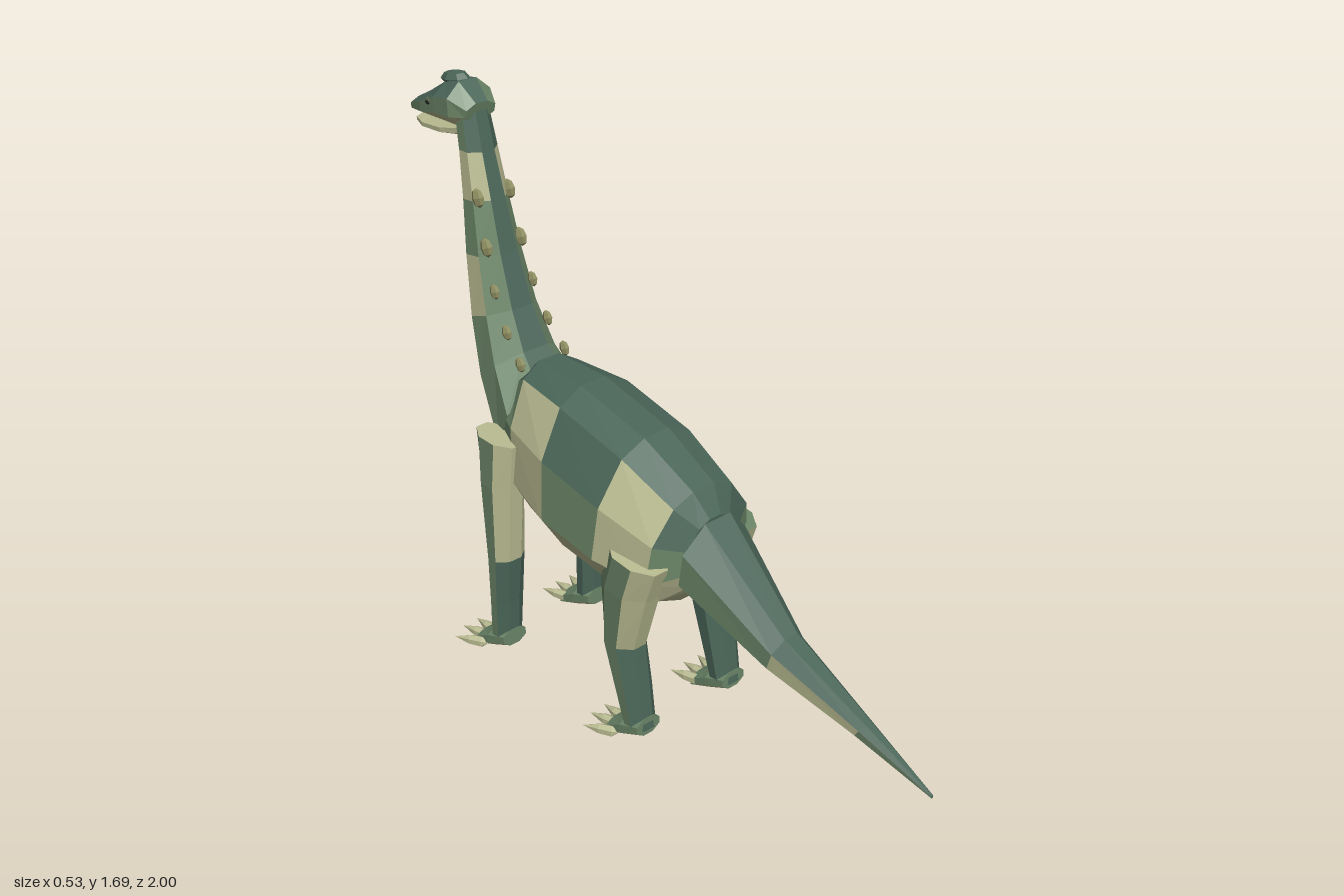
import * as THREE from 'three';

const mat = (name, color) => Object.assign(new THREE.MeshStandardMaterial({ color }), { name });
const MATS = [
  mat('dark teal green', 0x4a6558),
  mat('moss green', 0x6c8668),
  mat('pale tan', 0xb9bb91),
  mat('olive', 0x8f8f62),
  mat('eye black', 0x1c211e),
];
const TEAL = 0, MOSS = 1, TAN = 2, OLIVE = 3, BLACK = 4;

// Half cross-sections, top to bottom on the +x side
const OCT = [[0.4, 1], [1, 0.4], [1, -0.4], [0.4, -1]];
const BARREL = [[0.2, 1], [0.56, 0.84], [0.92, 0.3], [1, -0.38], [0.7, -0.8], [0.25, -1]];

// Lofts faceted rings. Section: [topZ, topY, bottomZ, bottomY, halfWidth, centreX].
// colour(segment, row, side): row 0 is the top strip, the last row the bottom strip.
function loft(name, half, sections, colour) {
  const prof = [...half, ...half.map(([x, y]) => [-x, y]).reverse()];
  const n = prof.length;
  const rings = sections.map(([tz, ty, bz, by, w, cx = 0]) => prof.map(([x, y]) => [
    cx + x * w,
    (ty + by) / 2 + y * (ty - by) / 2,
    (tz + bz) / 2 + y * (tz - bz) / 2,
  ]));
  const buckets = MATS.map(() => []);
  for (let i = 0; i < rings.length - 1; i++) {
    for (let k = 0; k < n; k++) {
      const k2 = (k + 1) % n;
      const row = k === n - 1 ? 0 : k < n / 2 ? k + 1 : n - 1 - k;
      const side = k < n / 2 ? 1 : -1;
      const a = rings[i][k], b = rings[i][k2], c = rings[i + 1][k], d = rings[i + 1][k2];
      buckets[colour(i, row, side)].push(...a, ...b, ...d, ...a, ...d, ...c);
    }
  }
  const last = rings.length - 1, s = rings[0], e = rings[last];
  for (let k = 1; k < n - 1; k++) {
    buckets[colour(0, 1, 1)].push(...s[0], ...s[k + 1], ...s[k]);
    buckets[colour(last - 1, 1, 1)].push(...e[0], ...e[k], ...e[k + 1]);
  }
  const geo = new THREE.BufferGeometry();
  geo.setAttribute('position', new THREE.Float32BufferAttribute(buckets.flat(), 3));
  let start = 0;
  buckets.forEach((b, m) => {
    if (b.length) geo.addGroup(start, b.length / 3, m);
    start += b.length / 3;
  });
  geo.computeVertexNormals();
  const mesh = new THREE.Mesh(geo, MATS);
  mesh.name = name;
  return mesh;
}

function faceted(name, geo, m, x, y, z) {
  const g = geo.index ? geo.toNonIndexed() : geo;
  g.computeVertexNormals();
  const mesh = new THREE.Mesh(g, MATS[m]);
  mesh.name = name;
  mesh.position.set(x, y, z);
  return mesh;
}

// Leg, foot and four splayed toes; (z, side) place the foot
function leg(name, side, sections, footZ) {
  const g = new THREE.Group();
  g.name = name;
  const cx = 0.165 * side;
  g.add(loft('limb', OCT, sections.map((s) => [...s, cx]), (i, row, sd) => {
    const lower = sections[i][1] < 0.4;
    if (row === 0) return lower ? TEAL : MOSS;
    if (row >= 3) return lower ? TEAL : TAN;
    if (sd !== side) return lower ? TEAL : TAN;
    return MOSS;
  }));
  g.add(loft('foot', OCT, [
    [footZ, 0.1, footZ, 0.045, 0.042, cx],
    [footZ - 0.06, 0.09, footZ - 0.07, 0.015, 0.052, cx],
    [footZ - 0.12, 0.05, footZ - 0.12, 0.0, 0.055, cx],
  ], (i, row) => (row >= 3 ? TAN : MOSS)));
  const toeProfile = [[0, 0], [0.017, 0.02], [0.015, 0.06], [0, 0.11]].map((p) => new THREE.Vector2(...p));
  [-0.28, -0.02, 0.24, 0.5].forEach((a, i) => {
    const geo = new THREE.LatheGeometry(toeProfile, 6).rotateX(-Math.PI / 2).rotateY(-a * side);
    g.add(faceted('toe', geo, TAN, cx + side * (-0.035 + i * 0.027), 0.032, footZ - 0.09 + (i === 3 ? 0.02 : 0)));
  });
  return g;
}

export function createModel() {
  const model = new THREE.Group();
  model.name = 'longNeckedDinosaur';

  // Barrel body with pale side patches and belly
  model.add(loft('body', BARREL, [
    [0.21, 0.72, 0.19, 0.5, 0.1],
    [0.165, 0.79, 0.13, 0.44, 0.19],
    [-0.02, 0.88, -0.05, 0.42, 0.22],
    [-0.28, 0.94, -0.24, 0.44, 0.22],
    [-0.47, 0.945, -0.42, 0.475, 0.175],
    [-0.52, 0.9, -0.57, 0.57, 0.135],
    [-0.56, 0.78, -0.64, 0.66, 0.07],
  ], (i, row) => {
    if (row >= 4 || i === 5) return TAN;
    if (row <= 1) return TEAL;
    if (i === 1 || i === 3) return TAN;
    return row === 2 && i < 4 ? TEAL : MOSS;
  }));

  // Tail, tip to root
  model.add(loft('tail', OCT, [
    [1, 0.262, 1, 0.252, 0.004],
    [0.78, 0.36, 0.75, 0.31, 0.028],
    [0.5, 0.485, 0.46, 0.36, 0.06],
    [0.22, 0.72, 0.18, 0.47, 0.115],
  ], (i, row) => {
    if (row <= 1) return TEAL;
    if (row >= 3) return TAN;
    return i === 1 ? TAN : MOSS;
  }));

  // Neck: dark nape, patched sides, pale throat
  model.add(loft('neck', OCT, [
    [-0.46, 0.88, -0.57, 0.6, 0.14],
    [-0.53, 0.95, -0.7, 0.82, 0.11],
    [-0.585, 1.06, -0.755, 1.0, 0.09],
    [-0.635, 1.21, -0.778, 1.19, 0.075],
    [-0.675, 1.36, -0.788, 1.35, 0.062],
    [-0.71, 1.49, -0.8, 1.49, 0.053],
    [-0.735, 1.6, -0.815, 1.57, 0.047],
  ], (i, row) => {
    if (row === 0) return TEAL;
    if (row >= 3) return TAN;
    if (row === 1) return i === 4 ? TAN : i === 5 ? TEAL : MOSS;
    return i === 2 || i === 4 ? TAN : MOSS;
  }));

  // Head, jaw and low crest
  const head = new THREE.Group();
  head.name = 'head';
  head.add(loft('skull', OCT, [
    [-0.73, 1.625, -0.745, 1.57, 0.05],
    [-0.79, 1.675, -0.785, 1.545, 0.075],
    [-0.85, 1.662, -0.86, 1.545, 0.074],
    [-0.93, 1.615, -0.93, 1.542, 0.066],
    [-1, 1.58, -0.995, 1.542, 0.048],
  ], (i, row) => (row >= 3 ? TAN : row === 2 || (row === 1 && i < 1) ? MOSS : TEAL)));
  head.add(loft('lowerJaw', OCT, [
    [-0.78, 1.56, -0.79, 1.52, 0.048],
    [-0.85, 1.545, -0.85, 1.512, 0.06],
    [-0.94, 1.535, -0.94, 1.507, 0.055],
    [-0.99, 1.534, -0.985, 1.512, 0.038],
  ], () => TAN));
  const crest = new THREE.SphereGeometry(1, 7, 4).scale(0.036, 0.022, 0.05).rotateX(-0.12);
  head.add(faceted('crest', crest, TEAL, 0, 1.667, -0.845));
  for (const s of [1, -1]) {
    head.add(faceted('eyelid', new THREE.SphereGeometry(1, 6, 4).scale(0.009, 0.012, 0.018), OLIVE, 0.065 * s, 1.605, -0.88));
    head.add(faceted('eye', new THREE.SphereGeometry(1, 6, 4).scale(0.006, 0.007, 0.01), BLACK, 0.071 * s, 1.603, -0.883));
  }
  model.add(head);

  // Paired bumps along the nape
  const bumps = [[0.08, 0.935, -0.5], [0.074, 1.01, -0.565], [0.068, 1.115, -0.62], [0.061, 1.235, -0.658], [0.055, 1.37, -0.695]];
  bumps.forEach(([x, y, z], i) => {
    for (const s of [1, -1]) {
      const r = 0.017 + (i > 2 ? 0.004 : 0);
      const geo = new THREE.SphereGeometry(1, 6, 4).scale(r * 0.75, r * 1.35, r).rotateX(-0.3);
      model.add(faceted('neckBump', geo, OLIVE, x * s, y, z));
    }
  });

  // Legs
  for (const s of [1, -1]) {
    const label = s > 0 ? 'left' : 'right';
    model.add(leg(label + 'FrontLeg', s, [
      [-0.58, 0.745, -0.415, 0.74, 0.05],
      [-0.56, 0.6, -0.43, 0.6, 0.058],
      [-0.535, 0.35, -0.45, 0.35, 0.054],
      [-0.532, 0.2, -0.465, 0.2, 0.05],
      [-0.54, 0.07, -0.472, 0.06, 0.045],
    ], -0.47));
    model.add(leg(label + 'HindLeg', s, [
      [-0.005, 0.62, 0.18, 0.6, 0.06],
      [-0.037, 0.5, 0.145, 0.5, 0.062],
      [-0.03, 0.32, 0.092, 0.32, 0.055],
      [0.02, 0.18, 0.112, 0.18, 0.051],
      [0.055, 0.07, 0.128, 0.06, 0.045],
    ], 0.125));
  }
  return model;
}
